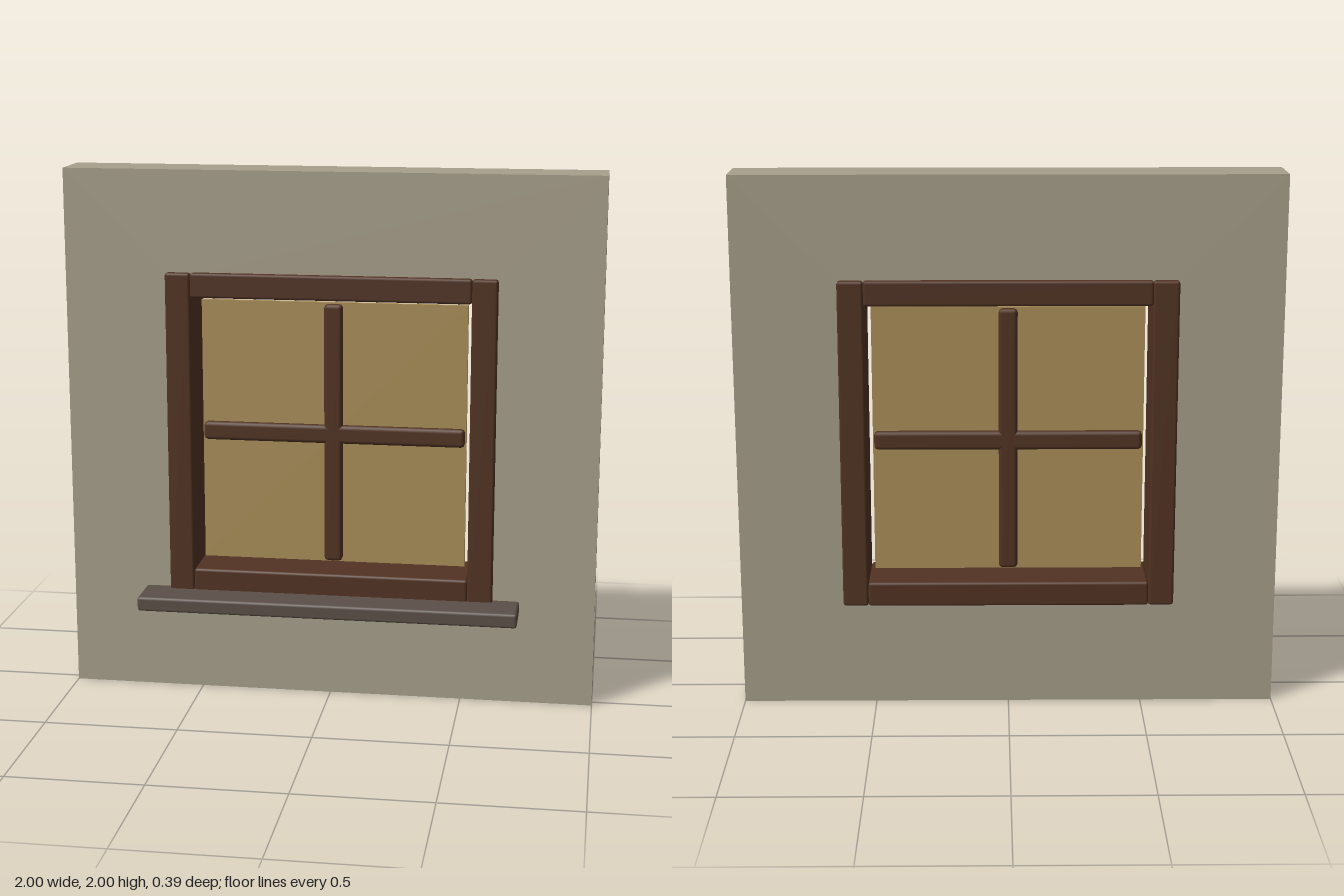
import * as THREE from 'three';
import { RoundedBoxGeometry } from 'three/addons/geometries/RoundedBoxGeometry.js';

export function createModel() {
  const model = new THREE.Group();
  model.name = 'windowInWall';

  const flat = (name, color) => {
    const m = new THREE.MeshStandardMaterial({ color });
    m.name = name;
    return m;
  };
  const plaster = flat('plaster', 0xa8a08c);
  const wood = flat('darkWood', 0x523323);
  const glassTint = flat('amberGlass', 0xab8f5a);
  const stone = flat('sillStone', 0x5c5048);

  const midZ = -0.065; // centre plane of wall, frame and glass

  const add = (parent, name, geometry, material, x, y, z) => {
    const mesh = new THREE.Mesh(geometry, material);
    mesh.name = name;
    mesh.position.set(x, y, z);
    parent.add(mesh);
    return mesh;
  };
  // Box with softly bevelled edges
  const bevelBox = (w, h, d, r) => new RoundedBoxGeometry(w, h, d, 1, r);

  // Wall with a square opening hidden behind the frame
  const outline = new THREE.Shape([[-1, 0], [1, 0], [1, 2], [-1, 2]].map(p => new THREE.Vector2(...p)));
  const hole = [[-0.59, 0.42], [-0.59, 1.59], [0.59, 1.59], [0.59, 0.42]];
  outline.holes.push(new THREE.Path(hole.map(p => new THREE.Vector2(...p))));
  const wall = new THREE.ExtrudeGeometry(outline, { depth: 0.2, bevelEnabled: false });
  add(model, 'wall', wall, plaster, 0, 0, midZ - 0.1);

  // Frame: two full-height stiles and two rails, running right through the wall
  const frame = new THREE.Group();
  frame.name = 'frame';
  model.add(frame);
  for (const [side, s] of [['left', 1], ['right', -1]]) {
    add(frame, side + 'Stile', bevelBox(0.095, 1.23, 0.256, 0.01), wood, s * 0.57, 1.005, midZ);
  }
  for (const [name, y] of [['topRail', 1.575], ['bottomRail', 0.435]]) {
    add(frame, name, bevelBox(1.046, 0.092, 0.256, 0.01), wood, 0, y, midZ);
  }

  // Glazing, with a narrow gap to the frame all round
  add(model, 'glass', new THREE.BoxGeometry(1.005, 1.005, 0.02), glassTint, 0, 1.003, midZ);

  // Crossed glazing bars
  const bars = new THREE.Group();
  bars.name = 'glazingBars';
  model.add(bars);
  add(bars, 'verticalBar', bevelBox(0.07, 0.995, 0.07, 0.015), wood, 0, 1.003, midZ);
  add(bars, 'horizontalBar', bevelBox(0.995, 0.07, 0.07, 0.015), wood, 0, 1.003, midZ);

  // Projecting sill on the front
  add(model, 'sill', bevelBox(1.435, 0.055, 0.173, 0.01), stone, 0, 0.372, 0.107);

  return model;
}
